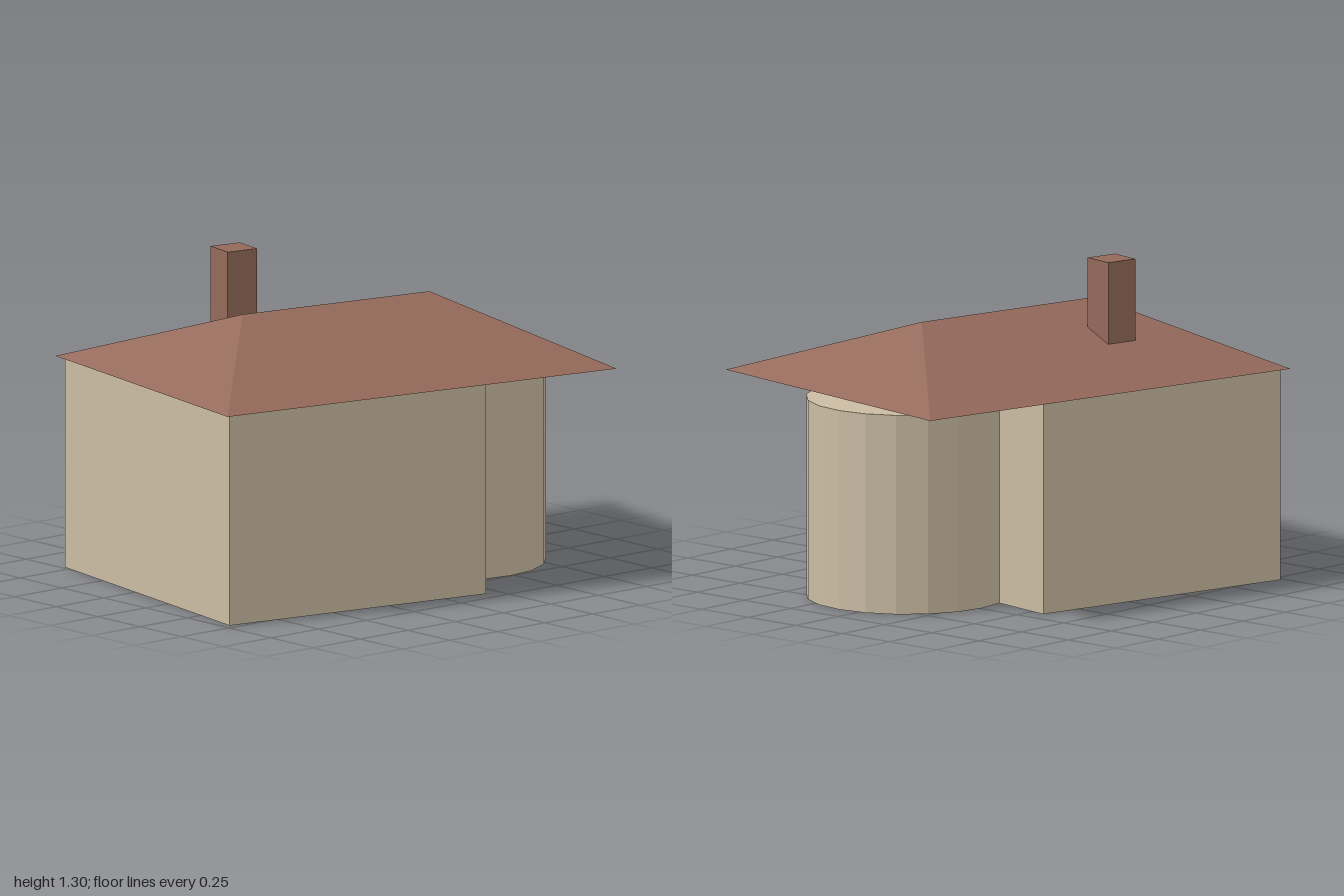
import * as THREE from 'three';
import { ConvexGeometry } from 'three/addons/geometries/ConvexGeometry.js';

export function createModel() {
  const model = new THREE.Group();
  model.name = 'house';

  const wall = new THREE.MeshStandardMaterial({ color: 0xcbbca3, flatShading: true });
  wall.name = 'beige plaster';
  const brown = new THREE.MeshStandardMaterial({ color: 0x946a5b, flatShading: true });
  brown.name = 'brown roof tile';

  // The house stands turned about the vertical axis
  const house = new THREE.Group();
  house.name = 'turnedHouse';
  house.rotation.y = -0.186;
  model.add(house);

  const add = (parent, name, geometry, material, x = 0, y = 0, z = 0) => {
    const mesh = new THREE.Mesh(geometry, material);
    mesh.name = name;
    mesh.position.set(x, y, z);
    parent.add(mesh);
    return mesh;
  };

  const eave = 0.85, ridge = 1.09;

  // Main rectangular block
  add(house, 'mainWalls', new THREE.BoxGeometry(1.175, eave, 1.277), wall, -0.279, eave / 2, 0.002);

  // Hipped roof with a closed flat underside
  const roofPoints = [];
  for (const sx of [-1, 1]) {
    for (const sz of [-1, 1]) roofPoints.push(new THREE.Vector3(sx * 0.892, eave, sz * 0.667));
    roofPoints.push(new THREE.Vector3(sx * 0.428, ridge, 0));
  }
  add(house, 'hippedRoof', new ConvexGeometry(roofPoints), brown);

  // Square chimney, rising through the house
  const chimneyTop = 1.3, chimneyBase = 0.005;
  add(house, 'chimney', new THREE.BoxGeometry(0.134, chimneyTop - chimneyBase, 0.134), brown,
    -0.314, (chimneyTop + chimneyBase) / 2, -0.262);

  // Round tower, faceted, a little lower than the walls
  add(model, 'roundTower', new THREE.CylinderGeometry(0.4, 0.4, 0.8, 20), wall, 0.49, 0.4, 0.094);

  return model;
}
